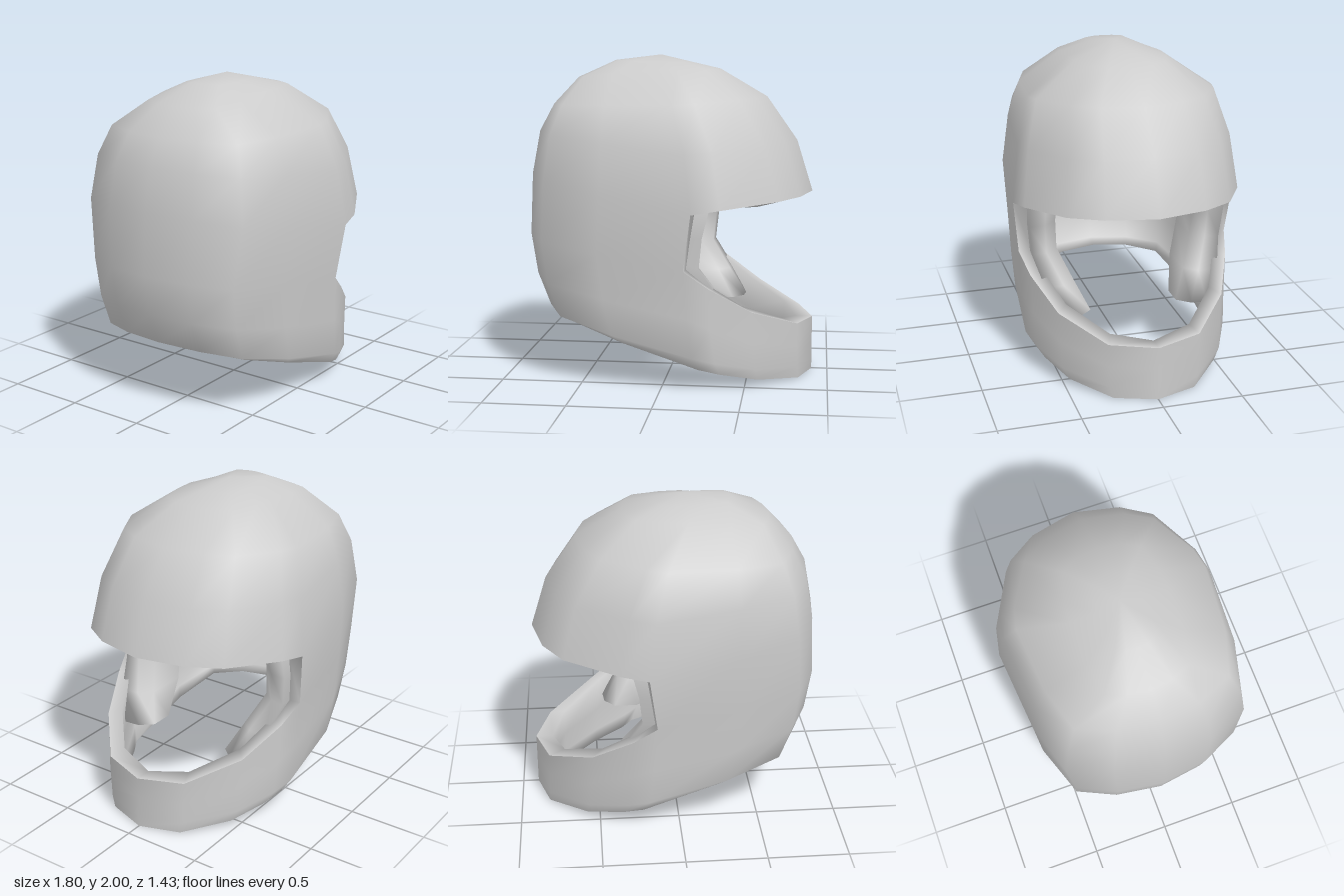
import * as THREE from 'three';
import { mergeVertices } from 'three/addons/utils/BufferGeometryUtils.js';

// Half plan outlines, front tip to back, as [length, width] from -1..1 and 0..1
const CHIN = [[1, 0], [0.9, 0.42], [0.6, 0.77], [0.32, 0.94], [0.16, 1], [-0.42, 0.95], [-0.82, 0.78], [-0.95, 0.43], [-1, 0]];
const BROW = [[1, 0], [0.92, 0.43], [0.78, 0.7], [0.4, 0.95], [0.21, 1], [-0.41, 0.94], [-0.81, 0.8], [-0.95, 0.43], [-1, 0]];
const CROWN = [[1, 0], [0.96, 0.46], [0.84, 0.8], [0.45, 0.97], [0.15, 1], [-0.42, 0.98], [-0.85, 0.85], [-0.96, 0.46], [-1, 0]];

// Rings from the neck edge up to the crown; y is front, side, back height
const ROWS = [
  { plan: CHIN, front: 0.9, back: -0.7, w: 0.61, y: [0, 0.13, 0.42] },
  { plan: CHIN, front: 0.9, back: -0.78, w: 0.66, y: [0.07, 0.21, 0.45] },
  { plan: CHIN, front: 0.9, back: -0.86, w: 0.67, y: [0.2, 0.45, 0.65] },
  { plan: CHIN, front: 0.9, back: -0.9, w: 0.68, y: [0.34, 0.74, 0.9] },
  { plan: BROW, front: 0.89, back: -0.88, w: 0.715, y: [1.15, 1.08, 1.28] },
  { plan: BROW, front: 0.79, back: -0.83, w: 0.67, y: [1.47, 1.43, 1.54] },
  { plan: BROW, front: 0.6, back: -0.74, w: 0.59, y: [1.74, 1.71, 1.7] },
  { plan: CROWN, front: 0.31, back: -0.59, w: 0.3, y: [1.91, 1.91, 1.86] },
  { plan: CROWN, front: 0.12, back: -0.36, w: 0.14, y: [1.955, 1.957, 1.965] },
  { plan: CROWN, front: -0.07, back: -0.07, w: 0, y: [2, 2, 2] },
];
const COLS = 16, TOP = ROWS.length - 1;
const SILL = 3, LINTEL = 4; // rings bounding the eye opening
const halfColumn = (i) => { const k = (i + COLS) % COLS; return k <= 8 ? k : COLS - k; };

function outerPoint(i, r) {
  const k = halfColumn(i), side = (i + COLS) % COLS <= 8 ? 1 : -1;
  const { plan, front, back, w, y } = ROWS[r];
  const [u, v] = plan[k], mid = plan[4][0];
  const height = u >= mid
    ? y[0] + (y[1] - y[0]) * Math.pow((1 - u) / (1 - mid), 1.5)
    : y[1] + (y[2] - y[1]) * (mid - u) / (mid + 1);
  return [back + (front - back) * (u + 1) / 2, height, side * v * w];
}

// Lining surface: set in from the shell, dipping at the brow and raised at the chin
function innerPoint(i, r) {
  const [x, y, z] = outerPoint(i, r), k = halfColumn(i);
  const brow = r === LINTEL && k < 3, chin = r === SILL && k < 4;
  const s = brow ? 0.81 : 0.88;
  const sx = k === 4 && r <= LINTEL ? 1.08 : s;
  const lift = brow ? -0.045 : chin && k > 0 ? 0.025 : 0;
  return [x * sx, r > LINTEL ? 0.95 + (y - 0.95) * 0.93 : y + lift, z * s];
}

// The eye opening leaves out the front cells between chin bar and brow
function solid(i, r) {
  return r >= 0 && r < TOP && !(r === SILL && ((i + COLS) % COLS < 4 || (i + COLS) % COLS >= COLS - 4));
}

function toGeometry(quads) {
  const p = [];
  for (const [a, b, c, d] of quads) p.push(...a, ...b, ...c, ...a, ...c, ...d);
  let g = new THREE.BufferGeometry();
  g.setAttribute('position', new THREE.Float32BufferAttribute(p, 3));
  g = mergeVertices(g, 1e-4);
  g.computeVertexNormals();
  return g;
}

// Cheek pad lofted through sections [y, back x, front x, inner z, outer z]
function cheekPad(side) {
  const sections = [
    [0.39, 0.14, 0.45, 0.28, 0.46], [0.56, -0.08, 0.35, 0.36, 0.56], [0.74, -0.2, 0.23, 0.44, 0.61],
    [0.93, -0.25, 0.25, 0.45, 0.63], [1.09, -0.25, 0.29, 0.45, 0.63], [1.35, -0.2, 0.22, 0.53, 0.59],
  ];
  const loops = sections.map(([y, b, f, zi, zo]) => [
    [f, y, zo], [f - 0.01, y, zi + 0.08], [f - 0.08, y, zi], [b + 0.08, y, zi], [b, y, zi + 0.08], [b, y, zo],
  ].map(([x, h, z]) => [x, h, z * side]));
  const quads = [];
  const add = (a, b, c, d) => quads.push(side > 0 ? [a, b, c, d] : [d, c, b, a]);
  for (let r = 0; r < loops.length - 1; r++) {
    for (let j = 0; j < 6; j++) {
      const n = (j + 1) % 6;
      add(loops[r][n], loops[r][j], loops[r + 1][j], loops[r + 1][n]);
    }
  }
  const lo = loops[0], hi = loops[loops.length - 1];
  add(lo[0], lo[1], lo[4], lo[5]);
  add(lo[1], lo[2], lo[3], lo[4]);
  add(hi[5], hi[4], hi[1], hi[0]);
  add(hi[4], hi[3], hi[2], hi[1]);
  return toGeometry(quads);
}

export function createModel() {
  const group = new THREE.Group();
  group.name = 'helmet';
  const material = new THREE.MeshStandardMaterial({ color: 0xcccccc, side: THREE.DoubleSide });
  const addPart = (name, geometry) => {
    const mesh = new THREE.Mesh(geometry, material);
    mesh.name = name;
    group.add(mesh);
  };

  // Shell, lining, and a rim wherever a cell borders an opening
  const shell = [], lining = [];
  for (let r = 0; r < TOP; r++) {
    for (let i = 0; i < COLS; i++) {
      if (!solid(i, r)) continue;
      const corners = [[i + 1, r], [i, r], [i, r + 1], [i + 1, r + 1]];
      const o = corners.map((c) => outerPoint(...c));
      const n = corners.map((c) => innerPoint(...c));
      shell.push(o);
      lining.push([...n].reverse());
      const neighbours = [[i, r - 1], [i - 1, r], [i, r + 1], [i + 1, r]];
      neighbours.forEach(([ni, nr], e) => {
        if (nr === TOP || solid(ni, nr)) return;
        const f = (e + 1) % 4;
        lining.push([o[f], o[e], n[e], n[f]]);
      });
    }
  }
  addPart('outerShell', toGeometry(shell));
  addPart('liningAndRim', toGeometry(lining));

  addPart('leftCheekPad', cheekPad(1));
  addPart('rightCheekPad', cheekPad(-1));
  return group;
}
